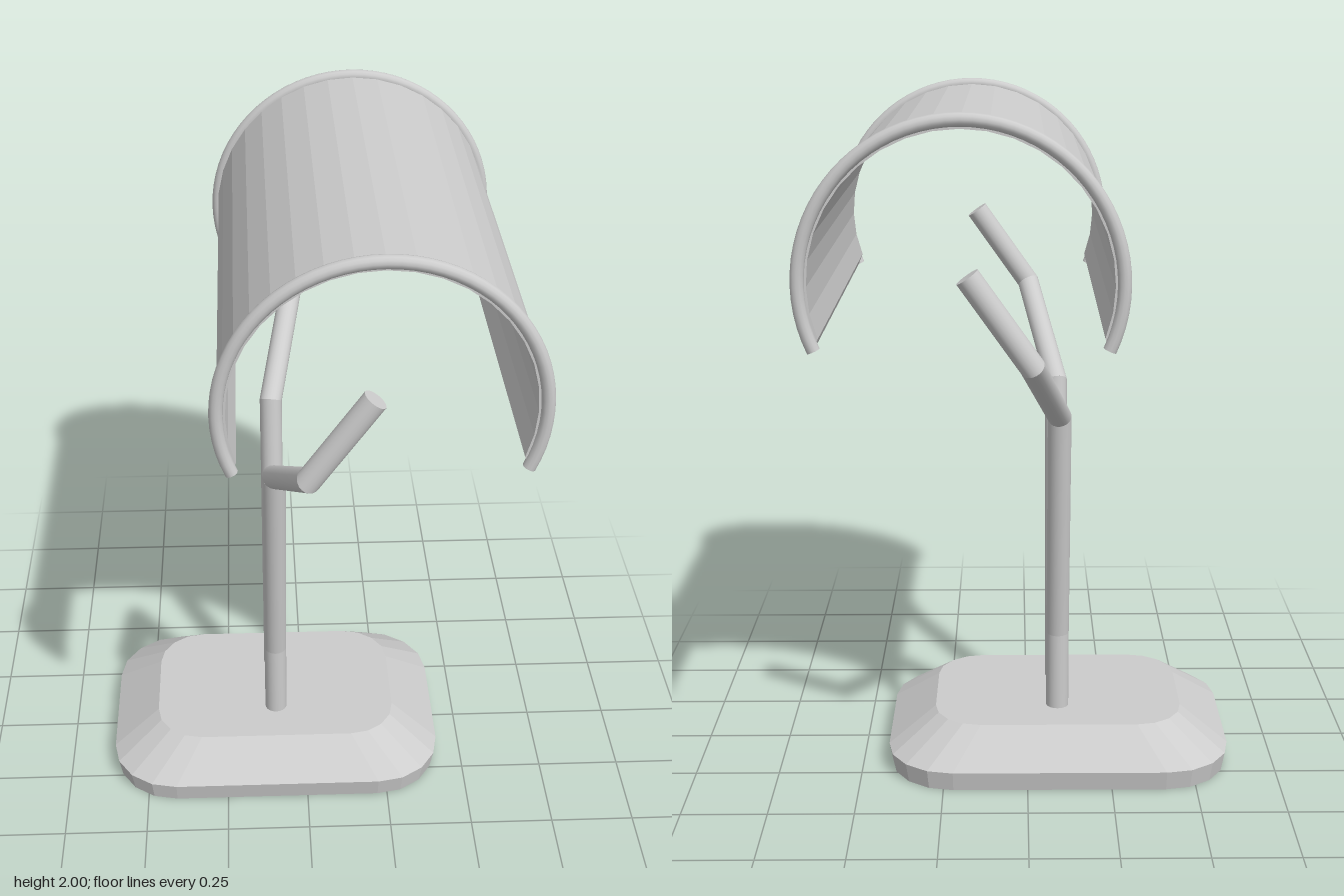
import * as THREE from 'three';
import { mergeGeometries } from 'three/addons/utils/BufferGeometryUtils.js';

const paint = new THREE.MeshStandardMaterial({ color: 0xcccccc });
paint.name = 'light grey';

function mesh(name, geometry) {
  const m = new THREE.Mesh(geometry, paint);
  m.name = name;
  return m;
}

// One closed loop of a rounded rectangle, four facets per corner
function loop(y, hx, hz, r) {
  const pts = [];
  for (let c = 0; c < 4; c++) {
    const sx = c === 0 || c === 3 ? 1 : -1, sz = c < 2 ? 1 : -1;
    for (let i = 0; i <= 4; i++) {
      const a = (c + i / 4) * Math.PI / 2;
      pts.push([sx * (hx - r) + r * Math.cos(a), y, sz * (hz - r) + r * Math.sin(a)]);
    }
  }
  return pts;
}

// Faceted base: stacked loops closed at both ends
function baseGeometry() {
  const loops = [
    loop(0, 0.505, 0.362, 0.19),
    loop(0.06, 0.516, 0.373, 0.2),
    loop(0.16, 0.375, 0.258, 0.14),
  ];
  const n = loops[0].length, v = [];
  for (let i = 0; i < n; i++) {
    const j = (i + 1) % n;
    for (let k = 0; k < loops.length - 1; k++) {
      const a = loops[k][i], b = loops[k][j], c = loops[k + 1][j], d = loops[k + 1][i];
      v.push(...a, ...d, ...c, ...a, ...c, ...b);
    }
    v.push(0, 0, 0, ...loops[0][i], ...loops[0][j]);
    v.push(0, 0.16, 0, ...loops[2][j], ...loops[2][i]);
  }
  const g = new THREE.BufferGeometry();
  g.setAttribute('position', new THREE.Float32BufferAttribute(v, 3));
  g.computeVertexNormals();
  return g;
}

// Round rod along a polyline with mitred bends
function rodGeometry(points, radius) {
  const dirs = points.slice(1).map((p, i) => p.clone().sub(points[i]).normalize());
  const parts = dirs.map((d, i) => {
    const g = new THREE.CylinderGeometry(radius, radius, 1, 20);
    g.applyQuaternion(new THREE.Quaternion().setFromUnitVectors(new THREE.Vector3(0, 1, 0), d));
    const pos = g.attributes.position, e = new THREE.Vector3();
    for (let k = 0; k < pos.count; k++) {
      e.fromBufferAttribute(pos, k);
      const along = e.dot(d), top = along > 0;
      e.addScaledVector(d, -along);
      const next = dirs[top ? i + 1 : i - 1] || d;
      const plane = d.clone().add(next);
      e.addScaledVector(d, -e.dot(plane) / d.dot(plane));
      e.add(points[top ? i + 1 : i]);
      pos.setXYZ(k, e.x, e.y, e.z);
    }
    return g;
  });
  return mergeGeometries(parts);
}

const START = -24 * Math.PI / 180, ARC = 228 * Math.PI / 180;

// Open half-barrel shade with a thin wall and bevelled lower edges
function shadeGeometry() {
  const length = 1.29, steps = 22, trim = 0.06, pts = [];
  for (let i = 0; i <= steps; i++) {
    const a = START + ARC * i / steps;
    pts.push(new THREE.Vector2(0.415 * Math.cos(a), 0.415 * Math.sin(a)));
  }
  for (let i = steps; i >= 0; i--) {
    const a = START + trim + (ARC - 2 * trim) * i / steps;
    pts.push(new THREE.Vector2(0.392 * Math.cos(a), 0.392 * Math.sin(a)));
  }
  const g = new THREE.ExtrudeGeometry(new THREE.Shape(pts), { depth: length, bevelEnabled: false });
  return g.translate(0, 0, -length / 2);
}

// Rolled rim: open torus with closed ends
function rimGeometry() {
  const R = 0.415, r = 0.018;
  const cap = (turn, angle) => new THREE.CircleGeometry(r, 12).rotateX(turn).translate(R, 0, 0).rotateZ(angle);
  return mergeGeometries([
    new THREE.TorusGeometry(R, r, 12, 48, ARC),
    cap(Math.PI / 2, 0),
    cap(-Math.PI / 2, ARC),
  ]).rotateZ(START);
}

export function createModel() {
  const model = new THREE.Group();
  model.name = 'lamp';

  const base = mesh('base', baseGeometry());
  base.position.x = -0.095;
  model.add(base);

  // Two bent supports, mirrored front to back
  for (const s of [1, -1]) {
    const path = [
      [-0.093, 0.12, 0.112], [-0.093, 0.4, 0.112], [-0.093, 1.105, 0.218],
      [-0.01, 1.345, 0.604], [0.157, 1.582, 0.604],
    ].map(([x, y, z]) => new THREE.Vector3(x, y, s * z));
    model.add(mesh(s > 0 ? 'frontSupport' : 'backSupport', rodGeometry(path, 0.034)));
  }

  const shade = new THREE.Group();
  shade.name = 'shade';
  shade.position.set(0.171, 1.567, 0);
  shade.add(mesh('shadeShell', shadeGeometry()));
  for (const s of [1, -1]) {
    const rim = mesh(s > 0 ? 'frontRim' : 'backRim', rimGeometry());
    rim.position.z = s * 0.645;
    shade.add(rim);
  }
  model.add(shade);
  return model;
}
